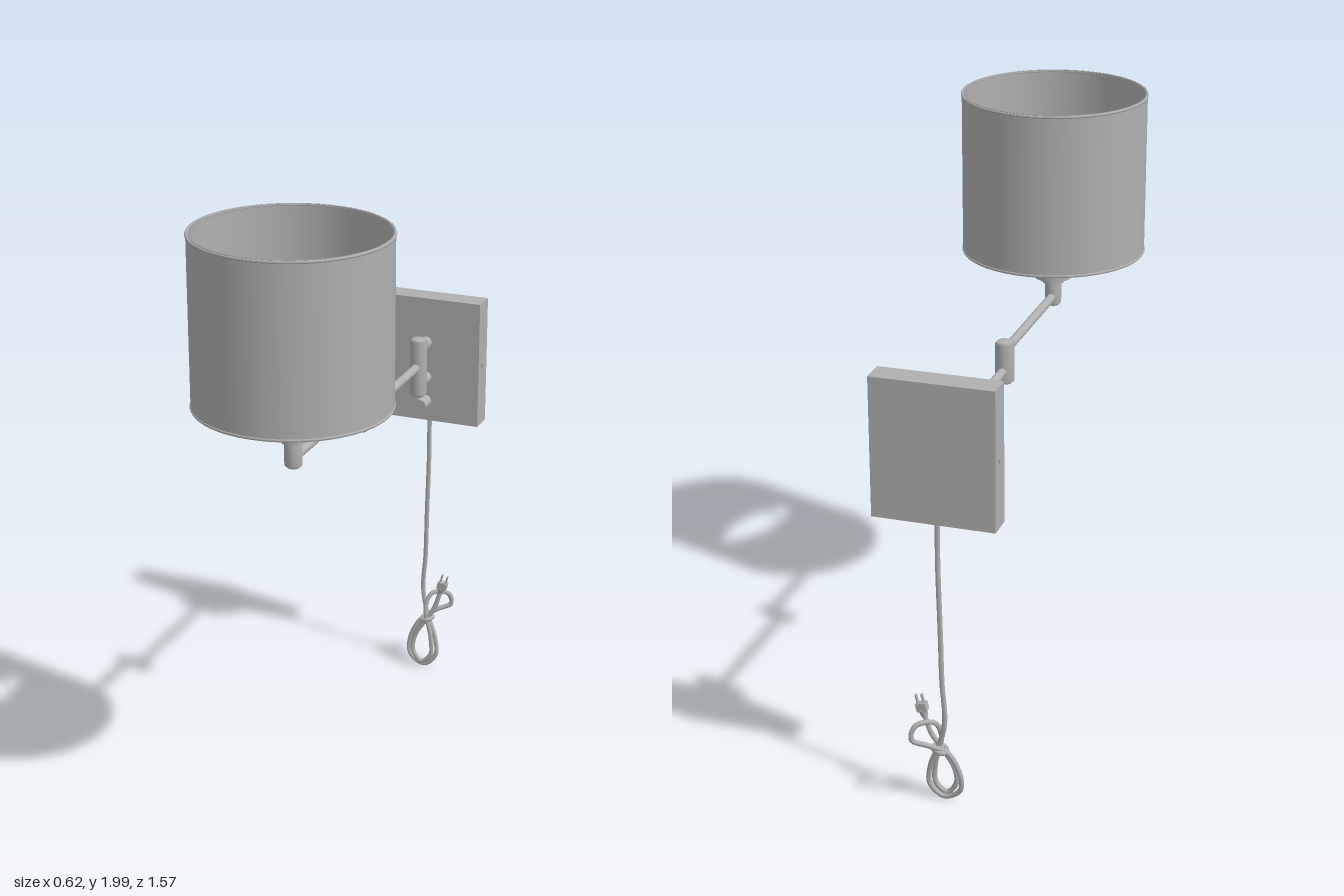
import * as THREE from 'three';

export function createModel() {
  const root = new THREE.Group();
  const metal = new THREE.MeshStandardMaterial({ color: 0xb0b0b0 });
  metal.name = 'grey metal';
  const shadeMat = metal.clone();
  shadeMat.name = 'grey fabric';
  shadeMat.side = THREE.DoubleSide;
  const V = (x, y, z) => new THREE.Vector3(x, y, z);
  const UP = V(0, 1, 0);

  function add(name, geometry, pos = V(0, 0, 0), parent = root, mat = metal) {
    const m = new THREE.Mesh(geometry, mat);
    m.name = name;
    m.position.copy(pos);
    parent.add(m);
    return m;
  }
  // Cylinder between two points
  function rod(name, a, b, r, parent = root, r2 = r) {
    const d = b.clone().sub(a);
    const m = add(name, new THREE.CylinderGeometry(r2, r, d.length(), 24), a.clone().add(b).multiplyScalar(0.5), parent);
    m.quaternion.setFromUnitVectors(UP, d.normalize());
    return m;
  }
  // Upright hinge barrel with softened ends
  function barrel(name, z, y0, y1, r) {
    const b = 0.008;
    const pts = [[0, y0], [r - b, y0], [r, y0 + b], [r, y1 - b], [r - b, y1], [0, y1]];
    add(name, new THREE.LatheGeometry(pts.map(p => new THREE.Vector2(...p)), 28), V(0, 0, z));
  }

  // Wall plate with side screws
  const plateZ = -0.727;
  add('wallPlate', new THREE.BoxGeometry(0.39, 0.45, 0.084), V(0, 1.225, plateZ));
  for (const s of [-1, 1])
    rod('plateScrew', V(s * 0.19, 1.222, plateZ), V(s * 0.198, 1.222, plateZ), 0.012);

  // Wall bracket and switch knob
  for (const y of [1.29, 1.16]) rod('bracketPost', V(0, y, -0.69), V(0, y, -0.61), 0.021);
  rod('switchKnob', V(0, 1.072, -0.69), V(0, 1.072, -0.627), 0.022);

  // Swing arm
  barrel('wallHinge', -0.608, 1.12, 1.328, 0.03);
  rod('rearArm', V(0, 1.227, -0.61), V(0, 1.227, -0.065), 0.015);
  barrel('elbowHinge', -0.066, 1.183, 1.325, 0.031);
  rod('frontArm', V(0, 1.29, -0.065), V(0, 1.29, 0.48), 0.015);

  // Lamp holder
  const cz = 0.48;
  barrel('lampHinge', cz, 1.26, 1.35, 0.028);
  rod('holderCollar', V(0, 1.342, cz), V(0, 1.362, cz), 0.037);
  const cup = [[0, 1.36], [0.063, 1.36], [0.063, 1.53], [0.05, 1.53], [0.05, 1.5], [0, 1.5]];
  const socket = cup.slice(0, -1).map((p, i) =>
    new THREE.LatheGeometry([p, cup[i + 1]].map(q => new THREE.Vector2(...q)), 32));
  const holder = new THREE.Group();
  holder.name = 'socket';
  holder.position.z = cz;
  root.add(holder);
  socket.forEach(g => add('socketWall', g, V(0, 0, 0), holder));
  add('socketDome', new THREE.SphereGeometry(0.05, 28, 16), V(0, 1.525, 0), holder);

  // Drum shade, its rims and four spokes
  const R = 0.306, y0 = 1.46, y1 = 2.0;
  const shade = new THREE.Group();
  shade.name = 'lampshade';
  shade.position.z = cz;
  root.add(shade);
  for (const [name, r] of [['shadeOuterWall', R], ['shadeInnerWall', R - 0.006]])
    add(name, new THREE.CylinderGeometry(r, r, y1 - y0, 72, 1, true), V(0, (y0 + y1) / 2, 0), shade, shadeMat);
  for (const y of [y0 + 0.005, y1 - 0.005]) {
    const rim = add('shadeRim', new THREE.TorusGeometry(R - 0.002, 0.005, 8, 72), V(0, y, 0), shade);
    rim.rotation.x = Math.PI / 2;
  }
  for (let i = 0; i < 4; i++) {
    const a = Math.PI / 4 + i * Math.PI / 2, c = Math.cos(a), s = Math.sin(a);
    rod('shadeSpoke', V(c * 0.058, 1.48, s * 0.058), V(c * 0.302, 1.48, s * 0.302), 0.006, shade);
  }

  // Power cord: hangs straight, then coils into a tied figure eight
  const path = [
    [0, 1.01, -0.73], [0, 0.85, -0.732], [-0.006, 0.62, -0.735], [-0.01, 0.45, -0.738], [-0.016, 0.31, -0.735],
    [0.005, 0.22, -0.725], [0.04, 0.13, -0.715], [0.045, 0.06, -0.71], [0, 0.018, -0.705],
    [-0.055, 0.05, -0.71], [-0.058, 0.11, -0.715], [-0.02, 0.19, -0.725], [0.03, 0.225, -0.755],
    [0.08, 0.25, -0.775], [0.07, 0.295, -0.765], [0.02, 0.3, -0.735], [0.002, 0.25, -0.715],
    [0.028, 0.13, -0.702], [0.028, 0.06, -0.7], [-0.008, 0.03, -0.698], [-0.04, 0.07, -0.7],
    [-0.035, 0.13, -0.705], [0.005, 0.2, -0.71], [0.035, 0.25, -0.718], [0.055, 0.315, -0.722]
  ].map(p => V(...p));
  add('powerCord', new THREE.TubeGeometry(new THREE.CatmullRomCurve3(path), 260, 0.0085, 8));
  const tie = add('cordTie', new THREE.TorusGeometry(0.022, 0.008, 8, 24), V(0.005, 0.2, -0.722));
  tie.rotation.set(Math.PI / 2, 0.3, 0);

  // Plug with two flat blades
  const plug = new THREE.Group();
  plug.name = 'plug';
  plug.position.set(0.054, 0.31, -0.722);
  plug.rotation.z = -0.25;
  root.add(plug);
  rod('plugNeck', V(0, 0, 0), V(0, 0.022, 0), 0.01, plug, 0.015);
  add('plugBody', new THREE.BoxGeometry(0.034, 0.028, 0.024), V(0, 0.034, 0), plug);
  for (const s of [-1, 1])
    add('plugBlade', new THREE.BoxGeometry(0.005, 0.034, 0.012), V(s * 0.01, 0.06, 0), plug);

  return root;
}
